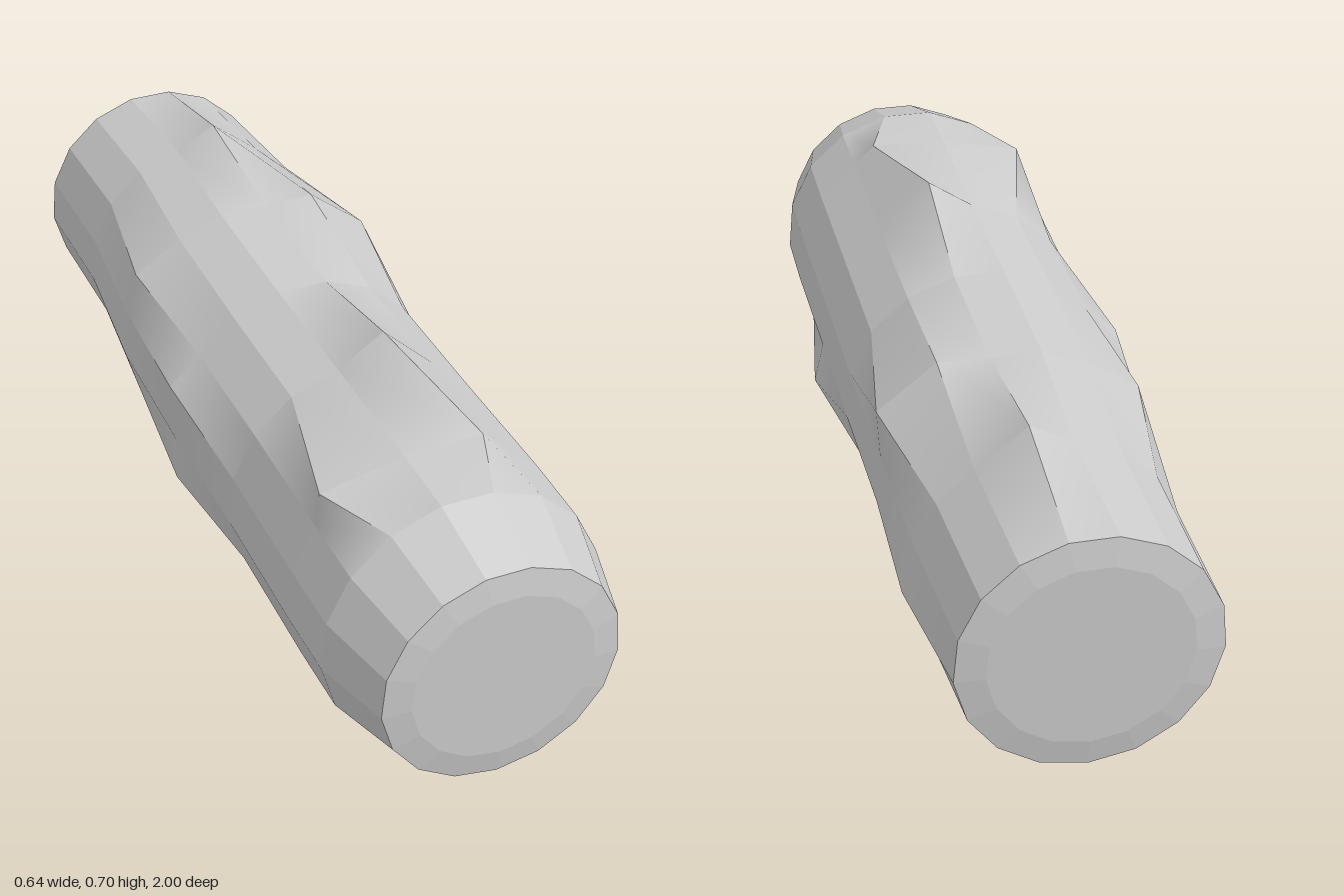
import * as THREE from 'three';

const SIDES = 17;

// Rings along the log: z, centre x, centre y, radius
const RINGS = [
  [1.0, 0, 0.32, 0.2],
  [0.99, 0, 0.32, 0.26],
  [0.82, -0.006, 0.33, 0.308],
  [0.65, -0.006, 0.33, 0.31],
  [0.32, -0.006, 0.327, 0.306],
  [0, -0.008, 0.325, 0.306],
  [-0.35, -0.008, 0.328, 0.302],
  [-0.68, 0.004, 0.336, 0.283],
  [-0.99, -0.008, 0.333, 0.272],
  [-1.0, -0.008, 0.333, 0.21],
];

// Knots and dents in the bark: ring, side (0 is the bottom, counting towards +x), x, y
const KNOTS = [
  [3, 8, 0.11, 0.64],
  [3, 10, -0.245, 0.595],
  [3, 16, -0.13, 0.014],
  [4, 8, 0.04, 0.697],
  [4, 3, 0.321, 0.204],
  [5, 0, -0.005, 0.001],
  [5, 12, -0.323, 0.445],
  [5, 14, -0.315, 0.193],
  [6, 6, 0.289, 0.525],
  [6, 7, 0.16, 0.628],
  [6, 11, -0.275, 0.515],
  [7, 4, 0.302, 0.302],
  [7, 8, 0.044, 0.665],
];

function ringPoints([z, cx, cy, r], index) {
  const points = [];
  for (let k = 0; k < SIDES; k++) {
    const a = (k / SIDES) * Math.PI * 2;
    points.push(new THREE.Vector3(cx + r * Math.sin(a), cy - r * Math.cos(a), z));
  }
  for (const [ring, k, x, y] of KNOTS) {
    if (ring === index) points[k].set(x, y, z);
  }
  return points;
}

// Builds a mesh from polygons; every corner takes its own face normal,
// so warped panels shade softly while edges between panels stay sharp
function panelMesh(name, panels, material) {
  const position = [], normal = [];
  const e1 = new THREE.Vector3(), e2 = new THREE.Vector3();
  for (const p of panels) {
    const n = p.length;
    const normals = p.map((v, i) => {
      e1.subVectors(p[(i + 1) % n], v);
      e2.subVectors(p[(i + n - 1) % n], v);
      return new THREE.Vector3().crossVectors(e1, e2).normalize();
    });
    for (let i = 1; i < n - 1; i++) {
      for (const j of [0, i, i + 1]) {
        position.push(...p[j].toArray());
        normal.push(...normals[j].toArray());
      }
    }
  }
  const geometry = new THREE.BufferGeometry();
  geometry.setAttribute('position', new THREE.Float32BufferAttribute(position, 3));
  geometry.setAttribute('normal', new THREE.Float32BufferAttribute(normal, 3));
  const mesh = new THREE.Mesh(geometry, material);
  mesh.name = name;
  return mesh;
}

export function createModel() {
  const group = new THREE.Group();
  group.name = 'log';
  const material = new THREE.MeshStandardMaterial({ color: 0xcccccc });
  const rings = RINGS.map(ringPoints);

  // Panels joining ring i to ring i + 1
  const band = (i) => rings[i].map((p, k) => {
    const next = (k + 1) % SIDES;
    return [p, rings[i + 1][k], rings[i + 1][next], rings[i][next]];
  });

  // Bark between the two outer rims
  const last = rings.length - 1;
  const bark = [];
  for (let i = 1; i < last - 1; i++) bark.push(...band(i));
  group.add(panelMesh('bark', bark, material));

  // Cut ends: a shallow bevel around a flat disc
  group.add(panelMesh('frontCut', [...band(0), rings[0]], material));
  group.add(panelMesh('backCut', [...band(last - 1), [...rings[last]].reverse()], material));

  return group;
}
